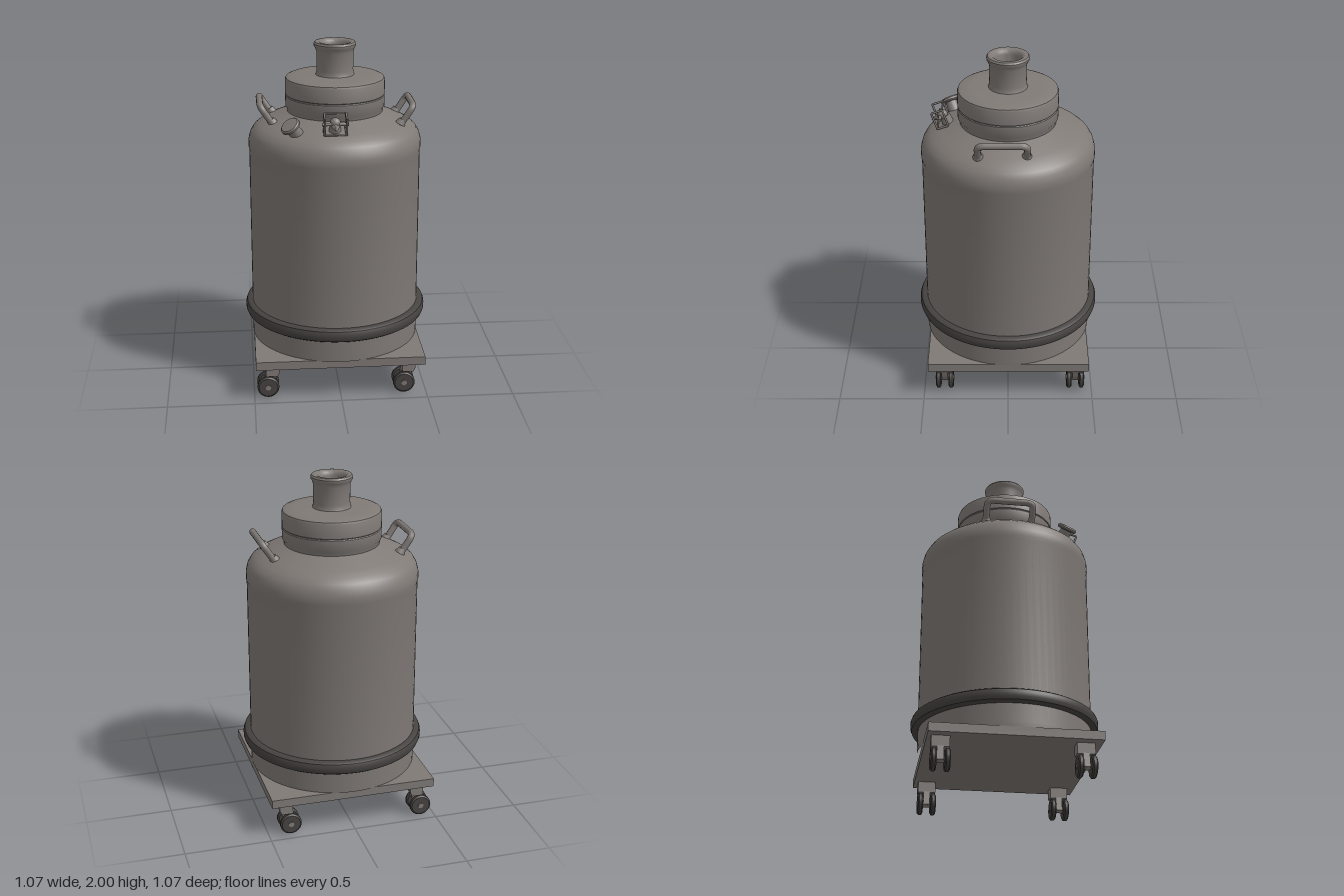
import * as THREE from 'three';
import { toCreasedNormals } from 'three/addons/utils/BufferGeometryUtils.js';

const material = (name, color) => {
  const m = new THREE.MeshStandardMaterial({ color });
  m.name = name;
  return m;
};

export function createModel() {
  const steel = material('brushed steel', 0x807a76);
  const rubber = material('dark rubber', 0x464341);
  const model = new THREE.Group();
  model.name = 'storageVessel';

  const add = (parent, name, geometry, mat, x = 0, y = 0, z = 0) => {
    const mesh = new THREE.Mesh(geometry, mat);
    mesh.name = name;
    mesh.position.set(x, y, z);
    parent.add(mesh);
    return mesh;
  };
  const group = (name, x, y, z) => {
    const g = new THREE.Group();
    g.name = name;
    g.position.set(x, y, z);
    model.add(g);
    return g;
  };
  const lathe = (profile, segments = 72) => toCreasedNormals(
    new THREE.LatheGeometry(profile.map(([r, y]) => new THREE.Vector2(r, y)), segments), 0.6);
  const v = (x, y, z) => new THREE.Vector3(x, y, z);
  const rod = (parent, name, a, b, radius) => {
    const dir = b.clone().sub(a);
    const mid = a.clone().add(b).multiplyScalar(0.5);
    const mesh = add(parent, name, new THREE.CylinderGeometry(radius, radius, dir.length(), 12), steel, mid.x, mid.y, mid.z);
    mesh.quaternion.setFromUnitVectors(v(0, 1, 0), dir.normalize());
  };

  // Square trolley plate
  add(model, 'trolleyPlate', new THREE.BoxGeometry(0.975, 0.05, 0.945), steel, -0.002, 0.222, -0.002);

  // Tank with a rounded shoulder, open where the plate and lid close it
  add(model, 'tank', lathe([
    [0.491, 0.245], [0.492, 0.27], [0.492, 1.385], [0.496, 1.4], [0.495, 1.44],
    [0.485, 1.478], [0.467, 1.507], [0.437, 1.532], [0.39, 1.556], [0.33, 1.58], [0.265, 1.608],
  ]), steel, -0.002);

  // Bumper ring round the foot of the tank
  add(model, 'bumperRing', lathe([
    [0.488, 0.378], [0.512, 0.378], [0.526, 0.387], [0.533, 0.405], [0.533, 0.428], [0.526, 0.446], [0.512, 0.455], [0.488, 0.455],
  ]), rubber);

  // Lid with a shallow groove and softened rims
  add(model, 'lid', lathe([
    [0.272, 1.59], [0.275, 1.622], [0.283, 1.634], [0.284, 1.695], [0.28, 1.7], [0.284, 1.705],
    [0.284, 1.785], [0.279, 1.797], [0.262, 1.804], [0.2, 1.808], [0.1, 1.812],
  ]), steel);

  // Hollow neck with a flared lip
  add(model, 'neck', lathe([
    [0.112, 1.808], [0.106, 1.82], [0.104, 1.84], [0.105, 1.945], [0.112, 1.965], [0.119, 1.975], [0.12, 1.988],
    [0.113, 1.998], [0.102, 2], [0.088, 1.997], [0.077, 1.987], [0.072, 1.97], [0.069, 1.87], [0, 1.865],
  ], 48), steel);

  // Carrying handles, each a bent tube leaning outwards
  for (const [side, zMid, name] of [[1, 0.03, 'leftHandle'], [-1, -0.028, 'rightHandle']]) {
    const at = (x, y, z) => v(side * x, y, zMid + z);
    const pts = [at(0.355, 1.545, -0.132), at(0.408, 1.623, -0.135), at(0.43, 1.657, -0.095),
      at(0.43, 1.657, 0.095), at(0.408, 1.623, 0.135), at(0.355, 1.545, 0.132)];
    const path = new THREE.CurvePath();
    path.add(new THREE.LineCurve3(pts[0], pts[1]));
    path.add(new THREE.QuadraticBezierCurve3(pts[1], at(0.43, 1.657, -0.136), pts[2]));
    path.add(new THREE.LineCurve3(pts[2], pts[3]));
    path.add(new THREE.QuadraticBezierCurve3(pts[3], at(0.43, 1.657, 0.136), pts[4]));
    path.add(new THREE.LineCurve3(pts[4], pts[5]));
    add(model, name, new THREE.TubeGeometry(path, 60, 0.019, 12), steel);
    // Welded feet
    for (const p of [pts[0], pts[5]]) {
      const foot = add(model, name + 'Foot', new THREE.CylinderGeometry(0.02, 0.03, 0.03, 16), steel, p.x + side * 0.008, p.y + 0.022, p.z);
      foot.rotation.z = -side * 0.5;
    }
  }

  // Tilted plug: stem and round cap
  const plug = group('plug', -0.242, 1.558, 0.315);
  plug.quaternion.setFromUnitVectors(v(0, 1, 0), v(-0.5, 0.75, 0.36).normalize());
  add(plug, 'plugStem', new THREE.CylinderGeometry(0.032, 0.038, 0.07, 20), steel, 0, 0.015, 0);
  add(plug, 'plugCap', lathe([[0, 0.042], [0.048, 0.042], [0.057, 0.049], [0.057, 0.06], [0.049, 0.068], [0, 0.07]], 28), steel);

  // Valve: stem, spindle and an open wire cage
  const valve = group('valve', -0.028, 1.56, 0.355);
  valve.rotation.x = 0.33;
  add(valve, 'valveStem', new THREE.CylinderGeometry(0.028, 0.036, 0.07, 20), steel, 0, 0.025, -0.018);
  add(valve, 'valveBody', new THREE.SphereGeometry(0.03, 20, 14), steel, 0, 0.065, -0.006);
  rod(valve, 'valveSpindle', v(-0.074, 0.065, 0.008), v(0.074, 0.065, 0.008), 0.009);
  const outlet = add(valve, 'valveOutlet', new THREE.ConeGeometry(0.028, 0.055, 4), steel, 0, 0.055, 0.038);
  outlet.rotation.x = Math.PI / 2;
  for (const x of [-0.06, 0.06]) {
    const corners = [v(x, 0.015, -0.025), v(x, 0.115, -0.025), v(x, 0.115, 0.04), v(x, 0.015, 0.04)];
    corners.forEach((c, i) => rod(valve, 'valveCageSide', c, corners[(i + 1) % 4], 0.006));
  }
  for (const [y, z] of [[0.115, -0.025], [0.015, 0.04]]) {
    rod(valve, 'valveCageBar', v(-0.06, y, z), v(0.06, y, z), 0.005);
  }

  // Twin-wheel casters, all trailing the same way
  for (const x of [-0.39, 0.4]) {
    for (const z of [0.378, -0.402]) {
      const caster = group('caster', x, 0, z);
      // Wide housing above, slanting down to the axle between the wheels
      const housing = new THREE.Shape([[-0.042, 0.2], [-0.042, 0.135], [0.024, 0.135], [0.036, 0.16], [0.036, 0.2]]
        .map(([a, b]) => new THREE.Vector2(a, b)));
      add(caster, 'casterHousing', new THREE.ExtrudeGeometry(housing, { depth: 0.1, bevelEnabled: false }), steel, 0, 0, -0.05);
      const fork = new THREE.Shape([[-0.042, 0.14], [-0.055, 0.06], [-0.02, 0.05], [0.012, 0.1], [0.024, 0.14]]
        .map(([a, b]) => new THREE.Vector2(a, b)));
      add(caster, 'casterFork', new THREE.ExtrudeGeometry(fork, { depth: 0.036, bevelEnabled: false }), steel, 0, 0, -0.018);
      rod(caster, 'casterAxle', v(-0.03, 0.066, -0.056), v(-0.03, 0.066, 0.056), 0.016);
      for (const s of [-1, 1]) {
        const wheel = add(caster, 'casterWheel', lathe([
          [0, -0.015], [0.054, -0.015], [0.063, -0.008], [0.063, 0.008], [0.054, 0.015], [0, 0.015],
        ], 28), rubber, -0.03, 0.066, s * 0.037);
        wheel.rotation.x = Math.PI / 2;
      }
    }
  }

  return model;
}
